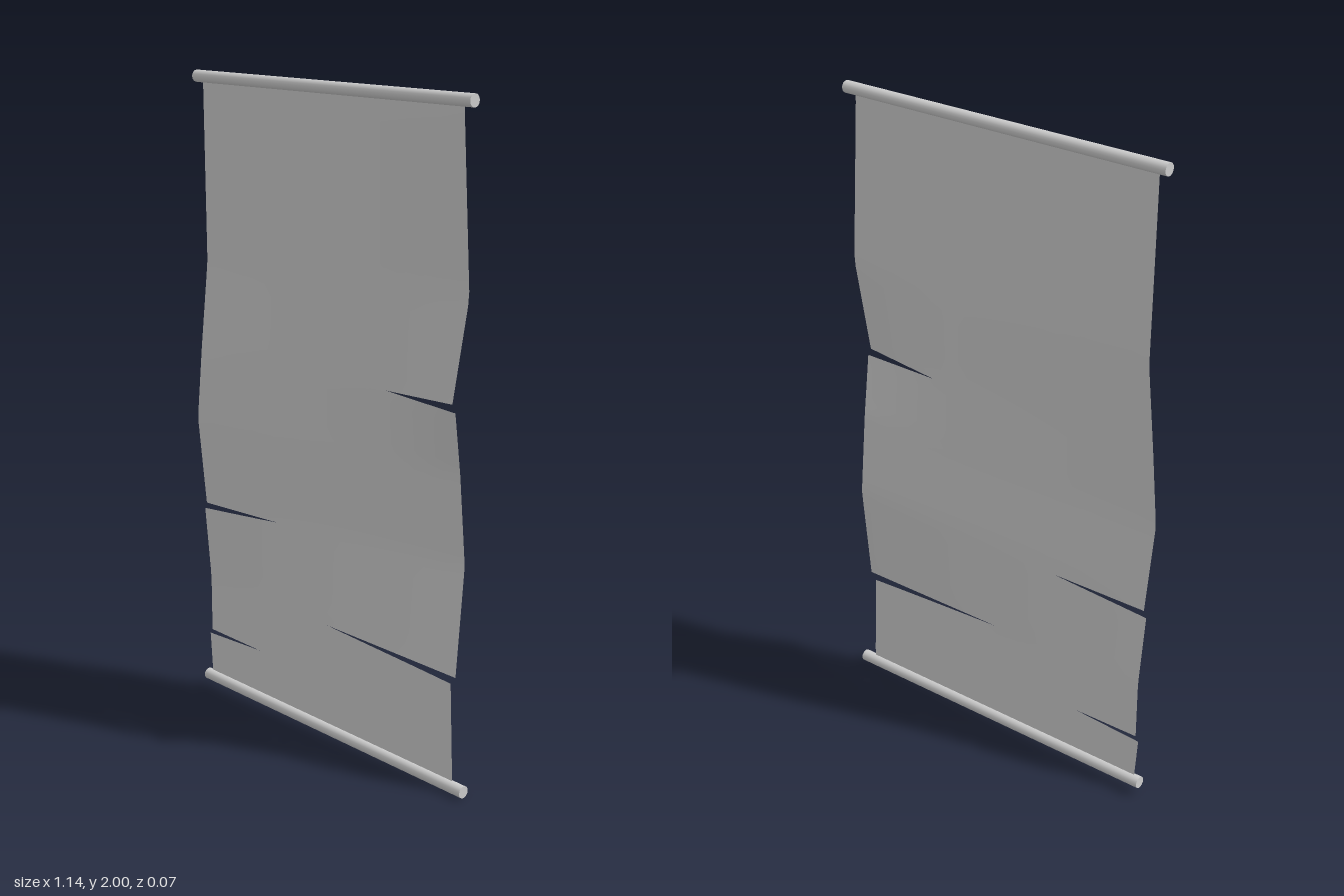
import * as THREE from 'three';
import { mergeVertices } from 'three/addons/utils/BufferGeometryUtils.js';

const HALF = 0.53; // nominal half width of the cloth

// Piecewise linear lookup through [y, value] pairs listed from top to bottom
function along(points, y) {
  if (y >= points[0][0]) return points[0][1];
  for (let i = 1; i < points.length; i++) {
    const [y0, v0] = points[i - 1], [y1, v1] = points[i];
    if (y >= y1) return v1 + (v0 - v1) * (y - y1) / (y0 - y1);
  }
  return points[points.length - 1][1];
}

// Frayed side outlines: [y, x]
const leftEdge = [[1.97, -0.54], [1.42, -0.53], [0.92, -0.558], [0.64, -0.54], [0.62, -0.55], [0.4, -0.54], [0.205, -0.54], [0.19, -0.55], [0.05, -0.54]];
const rightEdge = [[1.97, 0.525], [1.46, 0.545], [1.16, 0.515], [1.137, 0.525], [0.95, 0.508], [0.7, 0.52], [0.36, 0.53], [0.337, 0.512], [0.03, 0.525]];

// Billowing of each side: [y, z]
const leftBillow = [[1.95, 0.007], [1.42, 0.01], [1.15, 0.026], [0.92, 0.036], [0.62, 0.02], [0.38, 0.007], [0, 0.006]];
const rightBillow = [[1.95, 0.007], [1.45, -0.004], [1.15, -0.008], [0.95, -0.022], [0.68, -0.034], [0.36, 0.006], [0, 0.006]];
const curl = [[1.45, 0], [1.15, 0.032], [0.95, 0]]; // lips of the upper tear

// Tears from the sides: tip position, and edge heights of the upper and lower lip
const tears = [
  { side: 1, tip: 0.24, y: 1.147, upper: 1.16, lower: 1.137 },
  { side: -1, tip: 0.22, y: 0.645, upper: 0.64, lower: 0.62 },
  { side: 1, tip: 0.0, y: 0.37, upper: 0.36, lower: 0.337 },
  { side: -1, tip: 0.31, y: 0.198, upper: 0.205, lower: 0.19 },
];

function lip(tear, edgeY) {
  const tip = tear.tip / HALF;
  return s => tear.y + (edgeY - tear.y) * Math.max(0, (s * tear.side - tip) / (1 - tip));
}

function clothGeometry() {
  // Columns pass exactly through the tear tips
  const stops = [-1, -0.31 / HALF, -0.22 / HALF, 0, 0.24 / HALF, 1];
  const cols = [-1];
  for (let i = 1; i < stops.length; i++)
    for (let k = 1; k <= 4; k++) cols.push(stops[i - 1] + (stops[i] - stops[i - 1]) * k / 4);

  // Strips of cloth between one tear and the next
  const tops = [() => 1.98, ...tears.map(t => lip(t, t.lower))];
  const bottoms = [...tears.map(t => lip(t, t.upper)), s => 0.034 - 0.012 * s];
  const positions = [], indices = [];
  tops.forEach((top, b) => {
    const bottom = bottoms[b];
    const rows = Math.max(3, Math.round((top(0) - bottom(0)) / 0.04));
    const start = positions.length / 3;
    for (let r = 0; r <= rows; r++) {
      for (const s of cols) {
        const y = top(s) + (bottom(s) - top(s)) * r / rows;
        const edgeX = s < 0 ? along(leftEdge, y) + HALF : along(rightEdge, y) - HALF;
        const x = HALF * s + edgeX * Math.max(0, (Math.abs(s) - 0.6) / 0.4);
        const z = THREE.MathUtils.lerp(along(leftBillow, y), along(rightBillow, y), (s + 1) / 2)
          + along(curl, y) * Math.max(0, (s - 0.4) / 0.6);
        positions.push(x, y, z);
      }
    }
    const n = cols.length;
    for (let r = 0; r < rows; r++) {
      for (let c = 0; c < n - 1; c++) {
        const a = start + r * n + c, d = a + n;
        indices.push(a, d, a + 1, a + 1, d, d + 1);
      }
    }
  });
  let geometry = new THREE.BufferGeometry();
  geometry.setAttribute('position', new THREE.Float32BufferAttribute(positions, 3));
  geometry.setIndex(indices);
  geometry = mergeVertices(geometry, 1e-4);
  geometry.computeVertexNormals();
  return geometry;
}

// Round rod between two points
function rod(name, a, b, material) {
  const dir = b.clone().sub(a);
  const mesh = new THREE.Mesh(new THREE.CylinderGeometry(0.0185, 0.0185, dir.length(), 16), material);
  mesh.name = name;
  mesh.position.copy(a).add(b).multiplyScalar(0.5);
  mesh.quaternion.setFromUnitVectors(new THREE.Vector3(0, 1, 0), dir.normalize());
  return mesh;
}

export function createModel() {
  const group = new THREE.Group();
  group.name = 'tornBanner';
  const gray = new THREE.MeshStandardMaterial({ color: 0xcccccc, side: THREE.DoubleSide });
  gray.name = 'plain gray';

  const cloth = new THREE.Mesh(clothGeometry(), gray);
  cloth.name = 'cloth';
  group.add(cloth);

  // Level rod at the top, slightly tilted rod at the bottom
  group.add(rod('topRod', new THREE.Vector3(-0.57, 1.981, 0.006), new THREE.Vector3(0.56, 1.981, 0.006), gray));
  group.add(rod('bottomRod', new THREE.Vector3(-0.562, 0.045, 0.006), new THREE.Vector3(0.569, 0.0195, 0.006), gray));
  return group;
}
